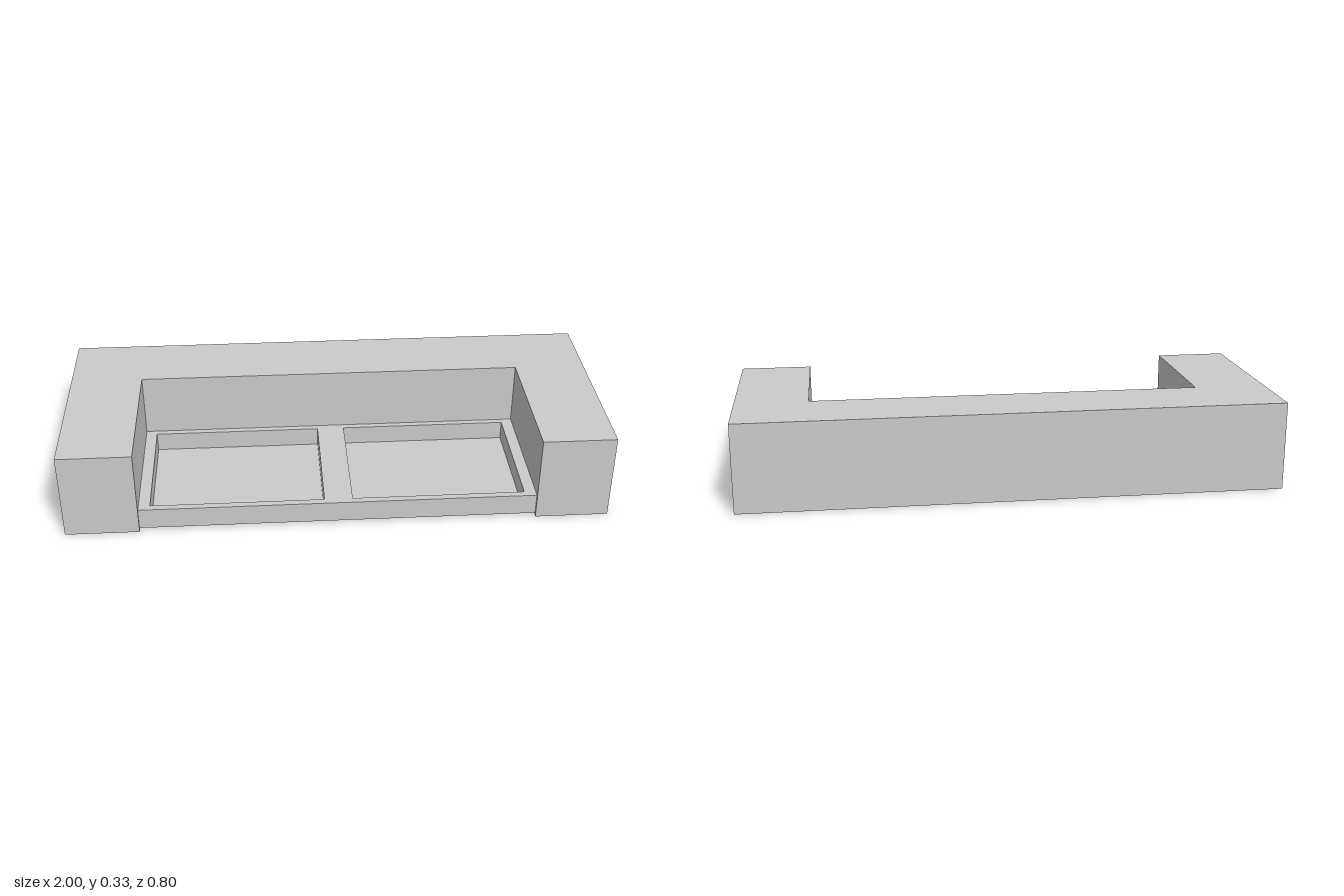
import * as THREE from 'three';

const material = new THREE.MeshStandardMaterial({ color: 0xcccccc, flatShading: true });

// Closed outline from [x, z] corners (stored as x, -z so that extrusion points up)
const trace = (Type, corners) => new Type(corners.map(([x, z]) => new THREE.Vector2(x, -z)));
const rect = (x0, x1, z0, z1) => [[x0, z1], [x1, z1], [x1, z0], [x0, z0]];

// Raises a floor-plan shape from y0 to y1
function slab(name, shape, y0, y1) {
  const geometry = new THREE.ExtrudeGeometry(shape, { depth: y1 - y0, bevelEnabled: false });
  geometry.rotateX(-Math.PI / 2).translate(0, y0, 0);
  const mesh = new THREE.Mesh(geometry, material);
  mesh.name = name;
  return mesh;
}

export function createModel() {
  const model = new THREE.Group();
  model.name = 'sofaFrame';

  const innerX = 0.73, backZ = -0.135, seatTop = 0.09, seatBottom = 0.01;

  // Backrest and both arms as one U-shaped block
  const surround = trace(THREE.Shape, [
    [-1, 0.4], [-innerX, 0.4], [-innerX, backZ], [innerX, backZ],
    [innerX, 0.4], [1, 0.4], [1, -0.4], [-1, -0.4],
  ]);
  model.add(slab('backAndArms', surround, 0, 0.33));

  // Low seat tray, slightly set back, with two cushion wells
  const tray = trace(THREE.Shape, rect(-innerX, innerX, backZ, 0.39));
  const wells = [
    ['rightWellFloor', rect(-0.688, -0.052, -0.112, 0.365)],
    ['leftWellFloor', rect(0.052, 0.688, -0.112, 0.365)],
  ];
  for (const [name, corners] of wells) {
    tray.holes.push(trace(THREE.Path, corners));
    // Thin floor closing the well
    model.add(slab(name, trace(THREE.Shape, corners), seatBottom, 0.017));
  }
  model.add(slab('seatTray', tray, seatBottom, seatTop));

  return model;
}
